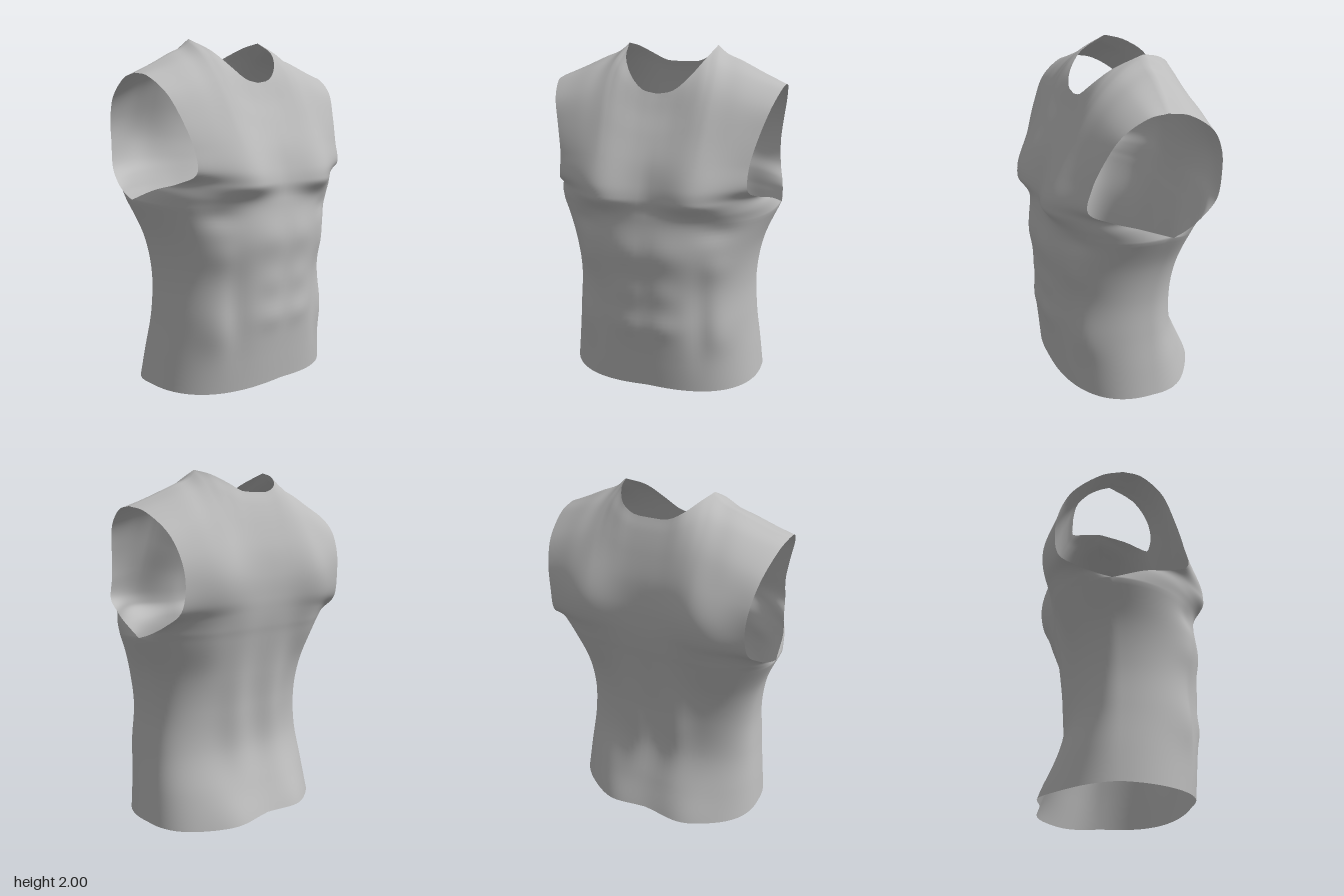
import * as THREE from 'three';
import { mergeGeometries, mergeVertices } from 'three/addons/utils/BufferGeometryUtils.js';

const N = 28, NECK = 12;          // half-panel columns, column of the neck corner
const ROWS = 104, LAST = 13, PIT = 5; // grid rows, last control row, armpit control row

const curve = (pts) => {
  const c = new THREE.CatmullRomCurve3(pts.map((p) => new THREE.Vector3(...p)), false, 'catmullrom', 0.5);
  return (t) => c.getPoint(THREE.MathUtils.clamp(t, 0, 1));
};

// Side seam from hem to armpit and shoulder line from neck to arm, shared by both panels
const seam = curve([[.605, .015, -.05], [.585, .2, -.05], [.56, .42, -.04], [.55, .65, -.04], [.585, .88, -.06], [.675, 1.1, -.1]]);
const shoulder = curve([[.272, 2, -.09], [.33, 1.952, -.09], [.42, 1.915, -.085], [.55, 1.855, -.065], [.68, 1.8, -.04]]);

// Each panel: armhole edge, centre line and neckline; bumps are [x, y, width, height below, height above, depth]
const front = {
  dir: 1,
  arm: curve([[.675, 1.1, -.1], [.645, 1.17, .08], [.595, 1.21, .22], [.555, 1.27, .34], [.555, 1.4, .32],
    [.59, 1.55, .265], [.635, 1.69, .19], [.67, 1.78, .07], [.68, 1.8, -.04]]),
  centre: curve([[0, .035, .42], [0, .2, .435], [0, .42, .452], [0, .65, .448], [0, .86, .465], [0, 1.06, .445], [0, 1.13, .437],
    [0, 1.2, .435], [0, 1.28, .42], [0, 1.4, .385], [0, 1.53, .325], [0, 1.64, .265], [0, 1.71, .23], [0, 1.75, .21]]),
  neck: curve([[0, 1.75, .21], [.09, 1.77, .205], [.17, 1.84, .165], [.235, 1.93, .07], [.272, 2, -.09]]),
  bumps: [
    [.27, 1.2, .17, .075, .22, .075],   // chest
    [.4, 1.02, .1, .06, .06, -.02],     // hollow under the chest
    [.11, .9, .12, .09, .09, .012], [.1, .64, .1, .08, .08, .012], [.1, .43, .1, .07, .07, .012], // abdomen
    [.31, .5, .06, .25, .25, -.018],    // flank groove
    [.43, .38, .08, .12, .15, .018],    // hip muscle
    [.4, .8, .07, .08, .08, .01],       // ribs
  ],
};
const back = {
  dir: -1,
  arm: curve([[.675, 1.1, -.1], [.665, 1.13, -.19], [.645, 1.18, -.29], [.615, 1.26, -.39], [.605, 1.4, -.415],
    [.62, 1.54, -.395], [.645, 1.67, -.32], [.67, 1.77, -.17], [.68, 1.8, -.04]]),
  centre: curve([[0, .02, -.43], [0, .2, -.365], [0, .42, -.297], [0, .65, -.298], [0, .86, -.33], [0, 1.06, -.375], [0, 1.14, -.395],
    [0, 1.22, -.41], [0, 1.3, -.42], [0, 1.42, -.425], [0, 1.56, -.412], [0, 1.7, -.375], [0, 1.81, -.335], [0, 1.88, -.3]]),
  neck: curve([[0, 1.88, -.3], [.1, 1.885, -.298], [.18, 1.925, -.275], [.24, 1.975, -.19], [.272, 2, -.09]]),
  bumps: [
    [.36, 1.4, .18, .25, .2, .06],      // shoulder blade
    [.14, .6, .09, .3, .4, .03],        // muscle beside the spine
    [.25, .02, .15, .2, .2, .035],      // seat
    [.4, 1.05, .12, .15, .15, .02],     // side of the back
  ],
};

const lerp = THREE.MathUtils.lerp;

// Rounded cross-section from centre line (s = 0) to panel edge (s = 1)
function section(panel, s, v) {
  const row = v * LAST;
  const e = row <= PIT ? seam(row / PIT) : panel.arm((row - PIT) / (LAST - PIT));
  const c = panel.centre(v);
  const open = THREE.MathUtils.smoothstep(row, PIT, 9);
  const A = lerp(Math.PI / 2, 0.9, open), q = 0.88;
  const sn = (a) => Math.pow(Math.max(0, Math.sin(a)), q);
  const cs = (a) => Math.pow(Math.max(0, Math.cos(a)), q);
  const x = e.x * sn(s * A) / sn(A);
  const f = (cs(s * A) - cs(A)) / (1 - cs(A));
  const hem = 0.02 * Math.sin(Math.PI * s) * Math.max(0, 1 - v * 6);
  return new THREE.Vector3(x, lerp(c.y, e.y, s * s) - hem, lerp(e.z, c.z, f));
}

function surface(panel, s, v) {
  const p = section(panel, s, v);
  // Muscle relief, fading out at the side and top edges
  let relief = 0;
  for (const [bx, by, w, low, high, d] of panel.bumps) {
    const dx = (p.x - bx) / w, dy = (p.y - by) / (p.y < by ? low : high);
    relief += d * Math.exp(-dx * dx - dy * dy);
  }
  relief *= (1 - Math.pow(s, 6)) * (1 - Math.pow(v, 12));
  // Pull the upper rows onto the neckline and shoulder line
  const t = Math.max(0, (v - 8 / LAST) / (1 - 8 / LAST));
  if (t > 0) {
    const sn = NECK / N;
    const top = s <= sn ? panel.neck(s / sn) : shoulder((s - sn) / (1 - sn));
    const d = top.sub(section(panel, s, 1));
    p.x += d.x * t * t;
    p.y += d.y * Math.pow(t, 1.5);
    p.z += d.z * Math.pow(t, 4);
  }
  p.z += panel.dir * relief;
  return p;
}

function panelGeometry(panel) {
  const pos = [], index = [], w = 2 * N + 1;
  for (let j = 0; j <= ROWS; j++) {
    for (let i = -N; i <= N; i++) {
      const p = surface(panel, Math.abs(i) / N, j / ROWS);
      pos.push(Math.sign(i) * p.x, p.y, p.z);
    }
  }
  for (let j = 0; j < ROWS; j++) {
    for (let i = 0; i < w - 1; i++) {
      const a = j * w + i, b = a + 1, c = a + w, d = c + 1;
      if (panel.dir > 0) index.push(a, b, d, a, d, c);
      else index.push(a, d, b, a, c, d);
    }
  }
  const g = new THREE.BufferGeometry();
  g.setAttribute('position', new THREE.Float32BufferAttribute(pos, 3));
  g.setIndex(index);
  return g;
}

export function createModel() {
  const grey = new THREE.MeshStandardMaterial({ color: 0xbcbcbc, side: THREE.DoubleSide });
  grey.name = 'light grey';
  // Panels are welded along the side seams and shoulders for smooth shading
  const geometry = mergeVertices(mergeGeometries([panelGeometry(front), panelGeometry(back)]), 1e-4);
  geometry.computeVertexNormals();
  const torso = new THREE.Mesh(geometry, grey);
  torso.name = 'sleevelessTorso';
  const model = new THREE.Group();
  model.name = 'torsoShell';
  model.add(torso);
  return model;
}
